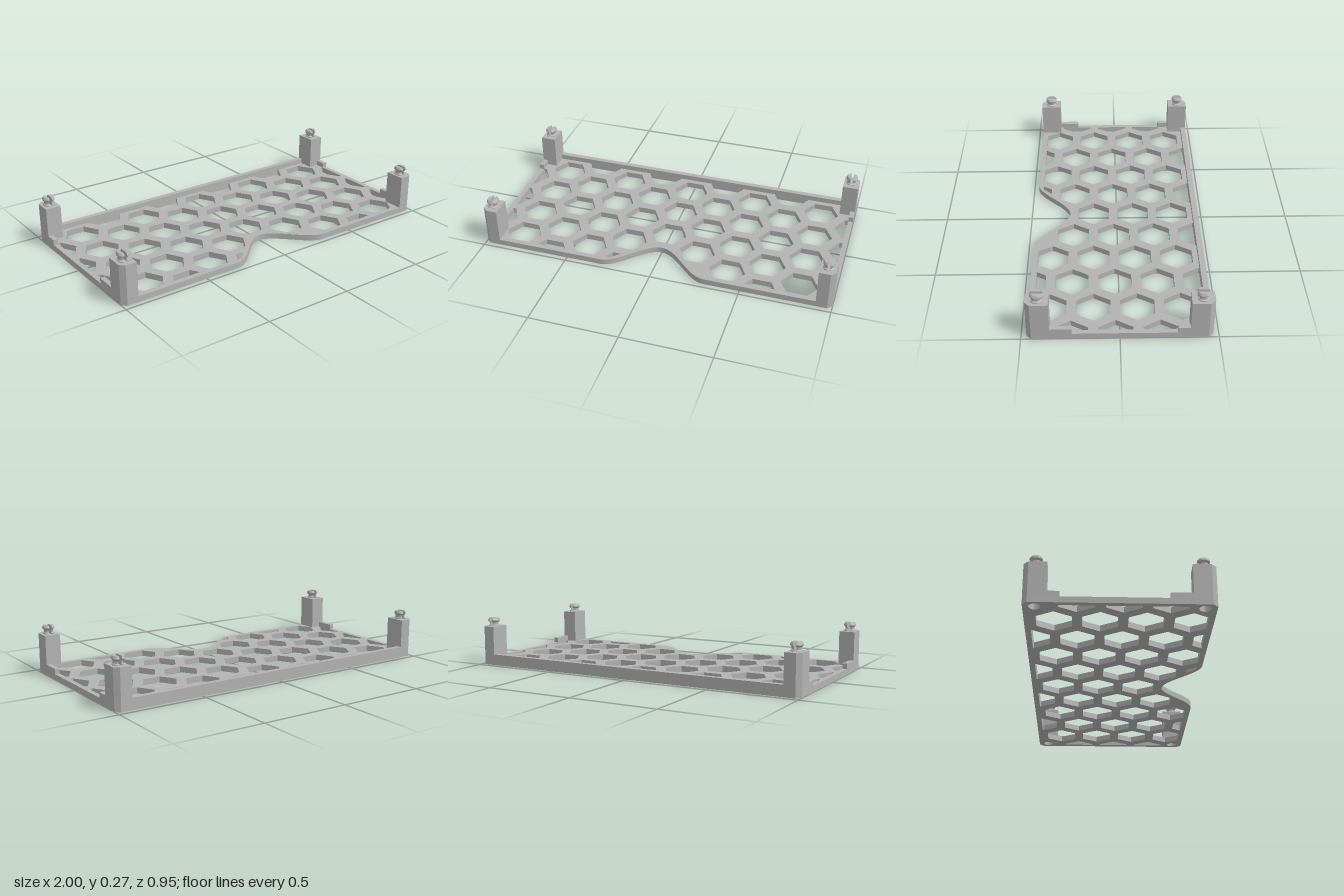
import * as THREE from 'three';
import { toCreasedNormals } from 'three/addons/utils/BufferGeometryUtils.js';

const X = 1, Z = 0.473, CHAMFER = 0.025;
const PLATE = 0.033, RIM = 0.063, POST = 0.225;
const PEG_X = 0.955, PEG_Z = 0.413;
const COL = 0.2015, ROW = 0.2295, HEX = 0.103, FIRST_Z = -0.3235;

const grey = new THREE.MeshStandardMaterial({ color: 0xb3b3b3 });
grey.name = 'grey plastic';

const shapeOf = (pts) => new THREE.Shape(pts.map(([x, z]) => new THREE.Vector2(x, z)));

// Extrude an outline drawn in (x, z) upward between two heights
function slab(shape, y0, y1) {
  const g = new THREE.ExtrudeGeometry(shape, { depth: y1 - y0, bevelEnabled: false, curveSegments: 24 });
  g.rotateX(Math.PI / 2).translate(0, y1, 0);
  return toCreasedNormals(g, 0.5);
}

function add(parent, name, geometry) {
  const m = new THREE.Mesh(geometry, grey);
  m.name = name;
  parent.add(m);
  return m;
}

function box(parent, name, x0, x1, y0, y1, z0, z1) {
  const g = new THREE.BoxGeometry(x1 - x0, y1 - y0, z1 - z0);
  add(parent, name, g.translate((x0 + x1) / 2, (y0 + y1) / 2, (z0 + z1) / 2));
}

function circle(x, z, r) {
  const p = new THREE.Path();
  p.absarc(x, z, r, 0, Math.PI * 2, true);
  return p;
}

// Keep the part of a convex polygon where sign * p[axis] <= limit
function clip(pts, axis, sign, limit) {
  const out = [];
  pts.forEach((a, i) => {
    const b = pts[(i + 1) % pts.length];
    const da = limit - sign * a[axis], db = limit - sign * b[axis];
    if (da >= 0) out.push(a);
    if (da * db < 0) {
      const t = da / (da - db);
      out.push([a[0] + (b[0] - a[0]) * t, a[1] + (b[1] - a[1]) * t]);
    }
  });
  return out;
}

// Hexagon trimmed to the inside of the frame
function hexagon(cx, cz) {
  let pts = [];
  for (let k = 0; k < 6; k++) {
    pts.push([cx + HEX * Math.cos(k * Math.PI / 3), cz + HEX * Math.sin(k * Math.PI / 3)]);
  }
  for (const s of [-1, 1]) {
    pts = clip(pts, 0, s, 0.973);
    pts = clip(pts, 1, s, 0.443);
  }
  return pts;
}

// Chamfered plate with a curved bay in its front edge and a honeycomb of holes
function plateGeometry() {
  const c = CHAMFER, s = new THREE.Shape();
  s.moveTo(-X + c, -Z);
  s.lineTo(X - c, -Z);
  s.lineTo(X, -Z + c);
  s.lineTo(X, Z - c);
  s.lineTo(X - c, Z);
  s.lineTo(0.3, Z);
  s.bezierCurveTo(0.2, Z, 0.1, 0.273, 0, 0.273);
  s.bezierCurveTo(-0.1, 0.273, -0.2, Z, -0.3, Z);
  s.lineTo(-X + c, Z);
  s.lineTo(-X, Z - c);
  s.lineTo(-X, -Z + c);
  s.closePath();
  for (let i = -5; i <= 5; i++) {
    const odd = Math.abs(i) % 2;
    for (let j = 0; j < (odd ? 5 : 4); j++) {
      const edge = j === 0 || j === 4;
      if (i === 0 && j === 3) continue;                      // bay
      if (odd && j === 4 && Math.abs(i) === 1) continue;     // bay shoulders
      if (odd && edge && Math.abs(i) === 5) continue;        // under the posts
      s.holes.push(shapeOf(hexagon(i * COL, FIRST_Z + (j - odd / 2) * ROW)));
    }
  }
  // Sliver of a hole beside the bay
  s.holes.push(shapeOf([[-0.282, 0.443], [-0.252, 0.391], [-0.205, 0.391], [-0.255, 0.443]]));
  for (const sx of [-1, 1]) for (const sz of [-1, 1]) s.holes.push(circle(sx * PEG_X, sz * PEG_Z, 0.03));
  return slab(s, 0, PLATE);
}

function postShape(sx, sz, bored) {
  const c = CHAMFER;
  const s = shapeOf([[0.912, 0.355], [X, 0.355], [X, Z - c], [X - c, Z], [0.912, Z]]
    .map(([x, z]) => [sx * x, sz * z]));
  if (bored) s.holes.push(circle(sx * PEG_X, sz * PEG_Z, 0.03));
  return s;
}

// Split snap peg: two half-turned prongs with a slot between them
function peg() {
  const group = new THREE.Group();
  group.name = 'snapPeg';
  const profile = [[0, 0], [0.03, 0], [0.03, 0.004], [0.023, 0.01], [0.023, 0.022],
    [0.033, 0.031], [0.033, 0.037], [0.026, 0.048], [0, 0.048]];
  const turned = new THREE.LatheGeometry(profile.map(([r, y]) => new THREE.Vector2(r, y)), 14, 0, Math.PI);
  const half = toCreasedNormals(turned, 0.5).scale(0.77, 1, 1);
  const flat = new THREE.ShapeGeometry(shapeOf([...profile, ...profile.slice(1, -1).reverse().map(([r, y]) => [-r, y])]));
  flat.rotateY(-Math.PI / 2);
  for (const side of [0, 1]) {
    const prong = new THREE.Group();
    prong.name = 'prong';
    add(prong, 'prongCurve', half.clone().translate(0.0075, 0, 0));
    add(prong, 'prongFlat', flat.clone().translate(0.0075, 0, 0));
    prong.rotation.y = side * Math.PI;
    group.add(prong);
  }
  return group;
}

export function createModel() {
  const model = new THREE.Group();
  model.name = 'honeycombTray';
  add(model, 'honeycombPlate', plateGeometry());

  // Raised rims along the back and next to each post
  box(model, 'backRim', -0.912, 0.912, PLATE, RIM, -Z, -0.443);
  for (const sx of [-1, 1]) {
    const [a, b] = sx > 0 ? [0.973, X] : [-X, -0.973];
    box(model, 'frontSideRim', a, b, PLATE, RIM, 0.243, 0.355);
    box(model, 'backSideRim', a, b, PLATE, RIM, -0.355, -0.292);

    // Corner posts, bored from below, each with a snap peg
    for (const sz of [-1, 1]) {
      const corner = new THREE.Group();
      corner.name = sz > 0 ? 'frontPost' : 'backPost';
      add(corner, 'postBody', slab(postShape(sx, sz, true), PLATE, POST - 0.02));
      add(corner, 'postCap', slab(postShape(sx, sz, false), POST - 0.02, POST));
      const p = peg();
      p.position.set(sx * PEG_X, POST, sz * PEG_Z);
      corner.add(p);
      model.add(corner);
    }
  }
  return model;
}
